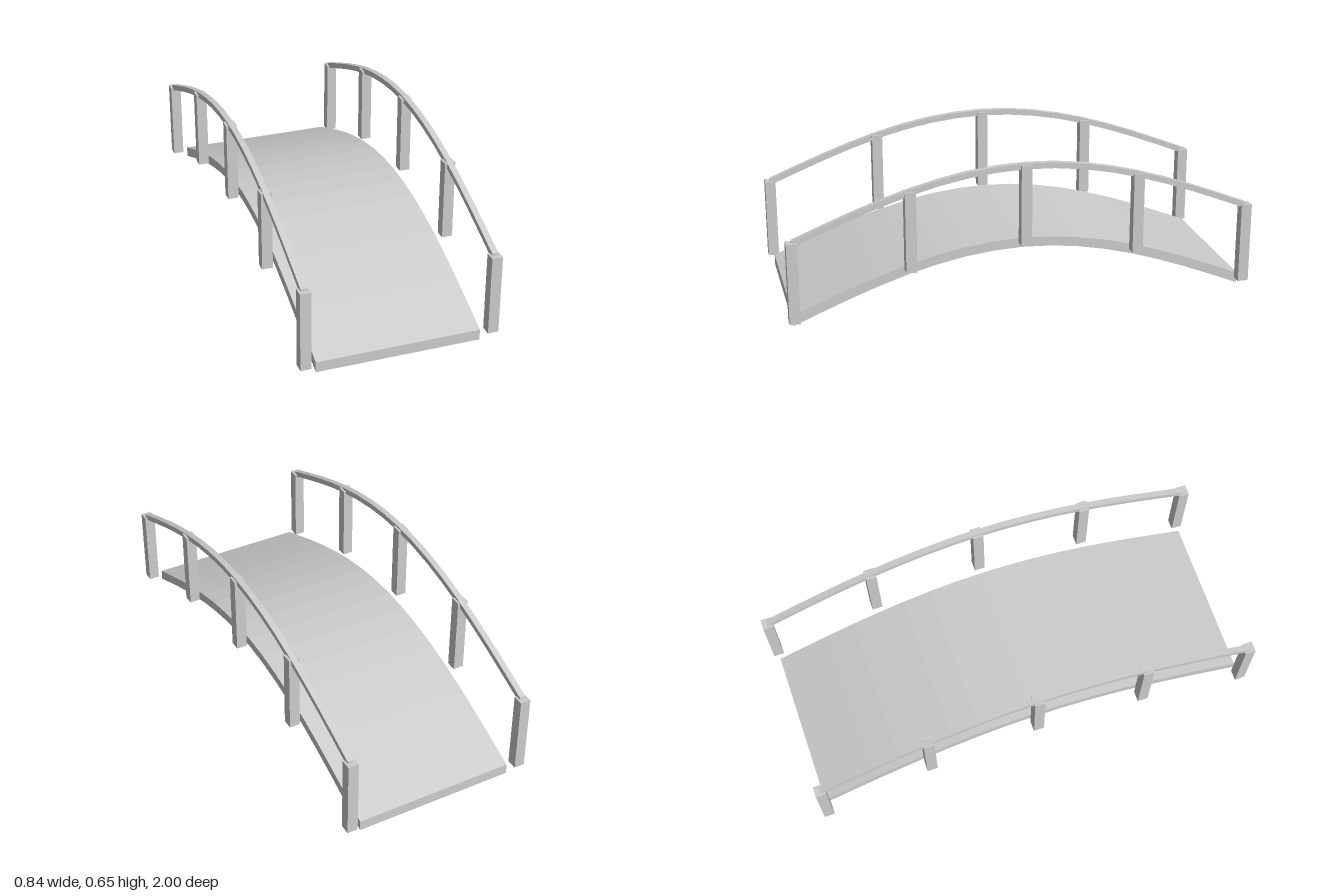
import * as THREE from 'three';

const HALF = 0.977;   // half the span along z
const STEPS = 16;     // straight facets along each arch

// Height of a sine arch at z, from its end height to its crest height
const arch = (z, end, crest) => end + (crest - end) * Math.cos((z / HALF) * Math.PI / 2);

// Arched slab running along z: lower and upper are [end height, crest height]
function archedBar(name, x, width, lower, upper, material) {
  const points = [];
  for (let i = 0; i <= STEPS; i++) {
    const z = -HALF + (2 * HALF * i) / STEPS;
    points.push(new THREE.Vector2(z, arch(z, ...lower)));
  }
  for (let i = STEPS; i >= 0; i--) {
    const z = -HALF + (2 * HALF * i) / STEPS;
    points.push(new THREE.Vector2(z, arch(z, ...upper)));
  }
  const geometry = new THREE.ExtrudeGeometry(new THREE.Shape(points), { depth: width, bevelEnabled: false });
  geometry.translate(0, 0, -width / 2);
  geometry.rotateY(-Math.PI / 2); // profile x becomes z
  const mesh = new THREE.Mesh(geometry, material);
  mesh.name = name;
  mesh.position.x = x;
  return mesh;
}

export function createModel() {
  const model = new THREE.Group();
  model.name = 'archedFootbridge';

  const stone = new THREE.MeshStandardMaterial({ color: 0xcccccc, flatShading: true });
  stone.name = 'light grey';

  // Walkway
  model.add(archedBar('deck', 0, 0.702, [0, 0.26], [0.047, 0.301], stone));

  // A railing on each side: curved handrail on five upright posts
  const postHeight = 0.351;
  const postGeometry = new THREE.BoxGeometry(0.046, postHeight, 0.046);
  for (const side of [1, -1]) {
    const railing = new THREE.Group();
    railing.name = side > 0 ? 'leftRailing' : 'rightRailing';
    railing.add(archedBar('handrail', side * 0.399, 0.026, [0.369, 0.625], [0.396, 0.65], stone));
    for (let i = -2; i <= 2; i++) {
      const z = (i / 2) * HALF;
      const post = new THREE.Mesh(postGeometry, stone);
      post.name = 'post';
      post.position.set(side * 0.399, arch(z, 0.037, 0.291) + postHeight / 2, z);
      railing.add(post);
    }
    model.add(railing);
  }
  return model;
}
